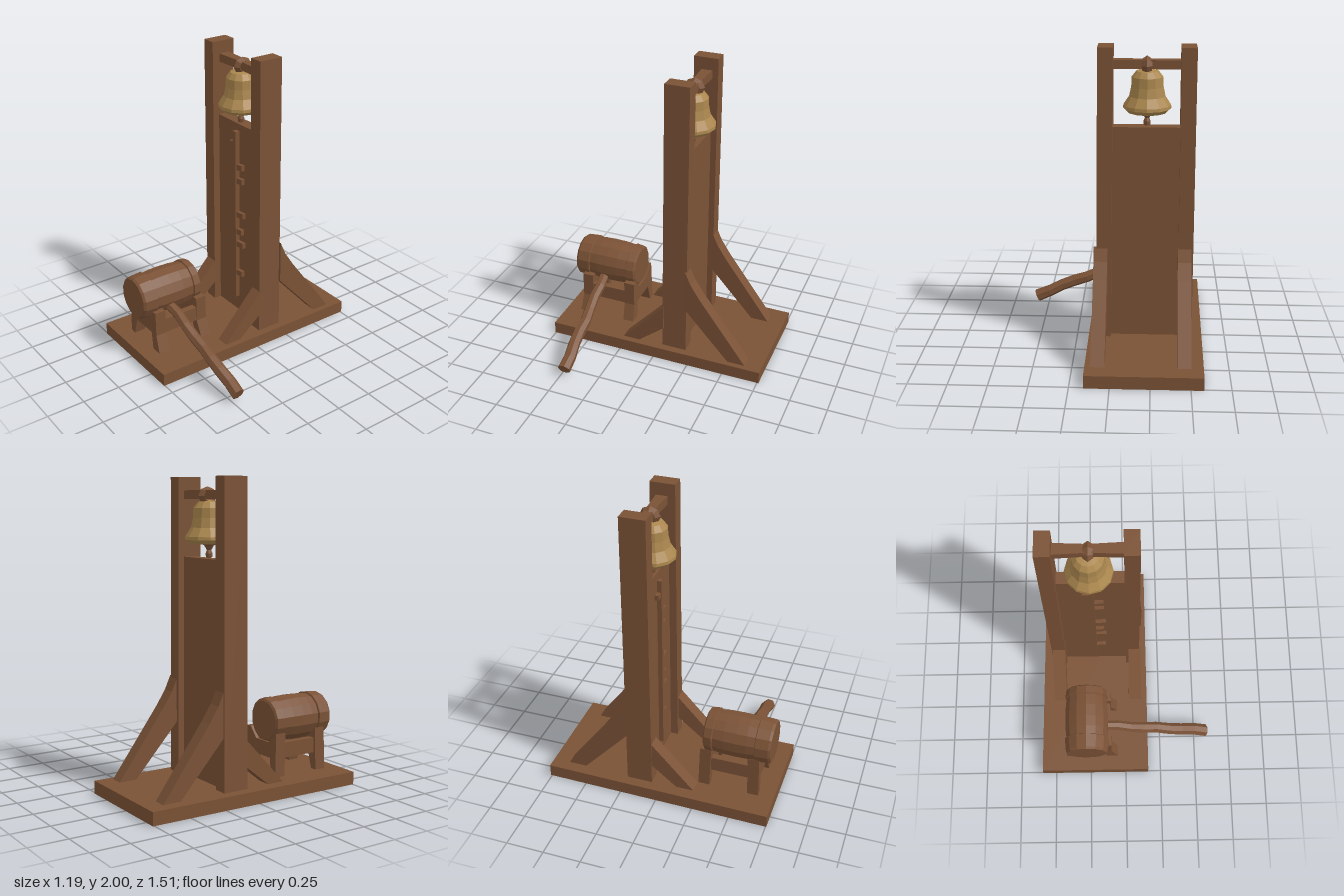
import * as THREE from 'three';

const wood = new THREE.MeshStandardMaterial({ color: 0x7b5236, flatShading: true });
wood.name = 'wood brown';
const brass = new THREE.MeshStandardMaterial({ color: 0xab874e, flatShading: true });
brass.name = 'bell brass';

export function createModel() {
  const group = new THREE.Group();
  const add = (name, geo, mat = wood, parent = group) => {
    const m = new THREE.Mesh(geo, mat);
    m.name = name;
    parent.add(m);
    return m;
  };
  // Box given by its limits
  const box = (x0, x1, y0, y1, z0, z1) =>
    new THREE.BoxGeometry(x1 - x0, y1 - y0, z1 - z0)
      .translate((x0 + x1) / 2, (y0 + y1) / 2, (z0 + z1) / 2);
  // Move every vertex by a rule
  const warp = (geo, rule) => {
    const p = geo.attributes.position;
    const v = new THREE.Vector3();
    for (let i = 0; i < p.count; i++) {
      rule(v.fromBufferAttribute(p, i));
      p.setXYZ(i, v.x, v.y, v.z);
    }
    geo.computeVertexNormals();
    return geo;
  };
  const extrude = (pts, depth) => new THREE.ExtrudeGeometry(
    new THREE.Shape(pts.map(([a, b]) => new THREE.Vector2(a, b))), { depth, bevelEnabled: false });
  // Outline in (z, y), extruded between two x limits
  const sideProfile = (pts, x0, x1) =>
    extrude(pts, x1 - x0).rotateY(-Math.PI / 2).translate(x1, 0, 0);
  const lathe = (pts, sides) =>
    new THREE.LatheGeometry(pts.map(([r, y]) => new THREE.Vector2(r, y)), sides);
  // Straight round rod between two points
  const rod = (a, b, ra, rb, sides, rows = 1) => {
    const d = b.clone().sub(a);
    const g = new THREE.CylinderGeometry(rb, ra, d.length(), sides, rows);
    g.applyQuaternion(new THREE.Quaternion().setFromUnitVectors(
      new THREE.Vector3(0, 1, 0), d.clone().normalize()));
    const c = a.clone().add(b).multiplyScalar(0.5);
    return g.translate(c.x, c.y, c.z);
  };

  // Base board, slightly out of square
  add('base', warp(box(-0.58, 0.16, 0, 0.085, -0.76, 0.755), v => {
    if (v.x < 0) v.x -= 0.01 * (v.z + 0.76);
  }));

  // Two tall posts, a little wider apart at the foot
  for (const [name, x0, x1, lean] of [['rightPost', -0.51, -0.415, -0.008], ['leftPost', 0, 0.095, 0.014]]) {
    add(name, warp(box(x0, x1, 0.08, 2, -0.22, -0.055), v => {
      if (v.y < 1) v.x += lean;
      if (v.y < 1 && v.z > -0.1) v.z += 0.006;
    }));
  }

  // Front and curved back braces
  const frontBrace = [[0.24, 0.08], [-0.06, 0.405], [-0.06, 0.23], [0.125, 0.08]];
  const backBrace = [[-0.65, 0.08], [-0.53, 0.08], [-0.215, 0.43], [-0.215, 0.72], [-0.255, 0.63], [-0.32, 0.53]];
  for (const [side, x0] of [['right', -0.51], ['left', 0.03]]) {
    add(side + 'FrontBrace', sideProfile(frontBrace, x0, x0 + 0.088));
    add(side + 'BackBrace', sideProfile(backBrace, x0 + 0.005, x0 + 0.093));
  }

  // Tower panel and its measuring strip
  add('panel', box(-0.43, 0.02, 0.08, 1.5, -0.18, -0.1));
  add('strip', warp(box(-0.222, -0.188, 0.2, 1.45, -0.105, -0.07), v => {
    if (v.y < 1) v.x -= 0.005;
  }));
  const ticks = [[1.1, 0.06], [1.2, 0.06], [0.85, 0.07], [0.72, 0.055], [0.625, 0.07], [0.4, 0.06]];
  for (const [y, len] of ticks) {
    add('scaleTick', warp(box(-0.195, -0.19 + len, y - 0.02, y + 0.02, -0.105, -0.075), v => {
      if (v.x > -0.18) v.y += 0.008;
    }));
  }
  add('topTick', box(-0.265, -0.215, 1.335, 1.37, -0.105, -0.075));

  // Crossbar with the bell's hanging loop
  add('crossbar', warp(new THREE.BoxGeometry(0.43, 0.055, 0.075, 2, 1, 1).translate(-0.207, 1.89, -0.143), v => {
    if (Math.abs(v.x + 0.207) < 0.05) v.z += 0.01 * Math.sign(v.z + 0.143) * -1;
  }));
  add('bellLoop', new THREE.TorusGeometry(0.043, 0.024, 4, 8).rotateY(Math.PI / 2)
    .scale(1.3, 0.88, 1).translate(-0.207, 1.882, -0.14));

  // Bell with dark wooden core and clapper
  const bell = new THREE.Group();
  bell.name = 'bell';
  bell.position.set(-0.21, 0, -0.13);
  group.add(bell);
  add('bellShell', lathe([[0.1, 1.6], [0.125, 1.59], [0.15, 1.615], [0.148, 1.635], [0.112, 1.69],
    [0.1, 1.75], [0.097, 1.81], [0.07, 1.845], [0, 1.86]], 12), brass, bell);
  add('bellMouth', lathe([[0, 1.598], [0.105, 1.6]], 12), wood, bell);
  add('clapper', lathe([[0, 1.5], [0.02, 1.505], [0.022, 1.53], [0.014, 1.55], [0.03, 1.578], [0.058, 1.592], [0.05, 1.61]], 8), wood, bell);

  // Mallet head: barrel along z with a raised band at each end
  const mallet = new THREE.Group();
  mallet.name = 'mallet';
  group.add(mallet);
  const head = lathe([[0, 0.26], [0.128, 0.26], [0.143, 0.27], [0.15, 0.32], [0.14, 0.325], [0.148, 0.4],
    [0.15, 0.48], [0.148, 0.55], [0.142, 0.605], [0.153, 0.61], [0.146, 0.695], [0.135, 0.71], [0, 0.712]], 14);
  add('malletHead', head.rotateX(Math.PI / 2).translate(-0.267, 0.432, 0), wood, mallet);

  // Rough-hewn handle leaning over the edge of the base
  const handle = rod(new THREE.Vector3(-0.15, 0.365, 0.5), new THREE.Vector3(0.58, 0.065, 0.47), 0.034, 0.044, 7, 8);
  add('malletHandle', warp(handle, v => {
    v.z += 0.005 * Math.sin(v.x * 22);
    v.y += 0.005 * Math.cos(v.x * 17);
  }), wood, mallet);

  // Mallet stand: two arched end frames joined by rails
  const stand = new THREE.Group();
  stand.name = 'malletStand';
  group.add(stand);
  const arch = [[-0.42, 0.08], [-0.375, 0.08], [-0.35, 0.2], [-0.16, 0.2], [-0.135, 0.08], [-0.055, 0.08],
    [-0.1, 0.2], [-0.1, 0.37], [-0.14, 0.37], [-0.2, 0.3], [-0.33, 0.3], [-0.415, 0.37]];
  for (const z of [0.25, 0.57]) {
    add('standFrame', warp(extrude(arch, 0.075).translate(0, 0, z), v => {
      if (v.y < 0.1) v.z += z < 0.4 ? -0.007 : 0.007;
    }), wood, stand);
  }
  for (const x of [-0.4, -0.15]) add('standRail', box(x, x + 0.045, 0.2, 0.3, 0.3, 0.6), wood, stand);

  return group;
}
